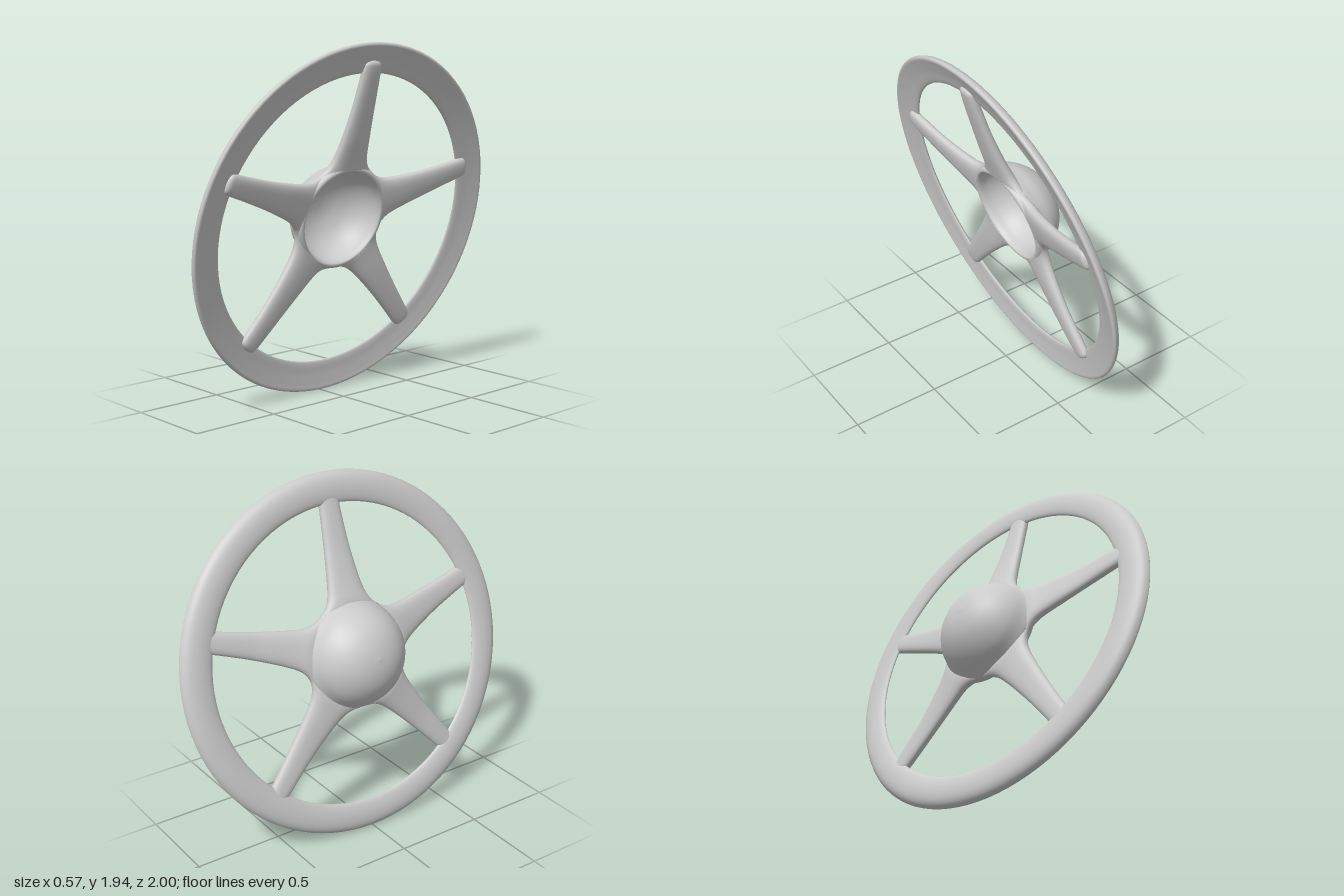
import * as THREE from 'three';

const material = new THREE.MeshStandardMaterial({ color: 0xcccccc, side: THREE.DoubleSide });

// Revolve a [radius, depth] outline; depth runs along the wheel axis towards the dome
function revolve(name, outline, closed, divisions) {
  const curve = new THREE.CatmullRomCurve3(
    outline.map(([r, d]) => new THREE.Vector3(r, d, 0)), closed, 'centripetal');
  const pts = curve.getPoints(divisions).map(p => new THREE.Vector2(Math.max(p.x, 0), p.y));
  const mesh = new THREE.Mesh(new THREE.LatheGeometry(pts, 96), material);
  mesh.name = name;
  return mesh;
}

// Spoke stations: radius, half width, front depth, back depth
const STATIONS = [
  [0.245, 0.178, 0.05, 0.12],
  [0.272, 0.147, 0.046, 0.125],
  [0.31, 0.122, 0.042, 0.122],
  [0.36, 0.106, 0.036, 0.112],
  [0.45, 0.091, 0.025, 0.096],
  [0.6, 0.074, 0.012, 0.074],
  [0.74, 0.064, 0.002, 0.062],
  [0.84, 0.058, -0.002, 0.054],
  [0.875, 0.046, 0.002, 0.05],
  [0.89, 0.004, 0.022, 0.03],
];

// Loft rounded cross-sections along the spoke, widening into the hub
function spokeGeometry(steps = 54, sides = 28) {
  const back = new THREE.CatmullRomCurve3(
    STATIONS.map(([r, w, , b]) => new THREE.Vector3(r, b, w)), false, 'catmullrom', 0.5);
  const front = new THREE.CatmullRomCurve3(
    STATIONS.map(([r, w, f]) => new THREE.Vector3(r, f, w)), false, 'catmullrom', 0.5);
  const soft = v => Math.sign(v) * Math.pow(Math.abs(v), 0.8);
  const pos = [], index = [];
  for (let i = 0; i <= steps; i++) {
    const b = back.getPoint(i / steps), f = front.getPoint(i / steps);
    for (let j = 0; j < sides; j++) {
      const t = (j / sides) * Math.PI * 2;
      const w = b.z * soft(Math.cos(t));
      const d = (b.y + f.y) / 2 + (b.y - f.y) / 2 * soft(Math.sin(t));
      // Curve the inner end so that it follows the round hub opening
      const r = Math.max(b.x, Math.sqrt(Math.max(0, 0.278 ** 2 - w * w)));
      pos.push(r, d, w);
      if (i < steps) {
        const a = i * sides + j, c = i * sides + (j + 1) % sides;
        index.push(a, a + sides, c, c, a + sides, c + sides);
      }
    }
  }
  const g = new THREE.BufferGeometry();
  g.setAttribute('position', new THREE.Float32BufferAttribute(pos, 3));
  g.setIndex(index);
  g.computeVertexNormals();
  return g;
}

export function createModel() {
  const model = new THREE.Group();
  model.name = 'spokedWheel';

  // Rim: flat shallow front, rounded back, thin inner edge
  const wheel = new THREE.Group();
  wheel.name = 'wheel';
  wheel.add(revolve('rim', [
    [1.0, 0.006], [0.99, 0.03], [0.965, 0.048], [0.92, 0.058], [0.87, 0.056],
    [0.838, 0.046], [0.83, 0.036], [0.84, 0.028], [0.9, 0.016], [0.96, 0.002], [0.99, -0.004],
  ], true, 44));

  // Hub and spokes sit slightly above the rim centre
  const centre = new THREE.Group();
  centre.name = 'hubAndSpokes';
  centre.position.x = 0.014;
  wheel.add(centre);

  // Hollow dome: outer skin, rounded lip, then the inside of the bowl
  centre.add(revolve('hubBowl', [
    [0, 0.333], [0.08, 0.322], [0.15, 0.295], [0.21, 0.25], [0.255, 0.195], [0.28, 0.14],
    [0.297, 0.1], [0.298, 0.07], [0.286, 0.05], [0.27, 0.048], [0.26, 0.065], [0.255, 0.11],
    [0.235, 0.17], [0.19, 0.23], [0.12, 0.275], [0.06, 0.293], [0, 0.297],
  ], false, 70));

  // Five spokes, the lower pair spread a little wider
  const geometry = spokeGeometry();
  [0, 73, 140, -140, -72].forEach((degrees, i) => {
    const spoke = new THREE.Mesh(geometry, material);
    spoke.name = 'spoke' + (i + 1);
    spoke.rotation.y = THREE.MathUtils.degToRad(degrees);
    centre.add(spoke);
  });

  // Stand the wheel up with its axis sideways, leaning and slightly turned
  wheel.rotation.set(0, -0.035, Math.PI / 2 - 0.242);
  wheel.position.set(0.045, 0.971, 0);
  model.add(wheel);
  return model;
}
